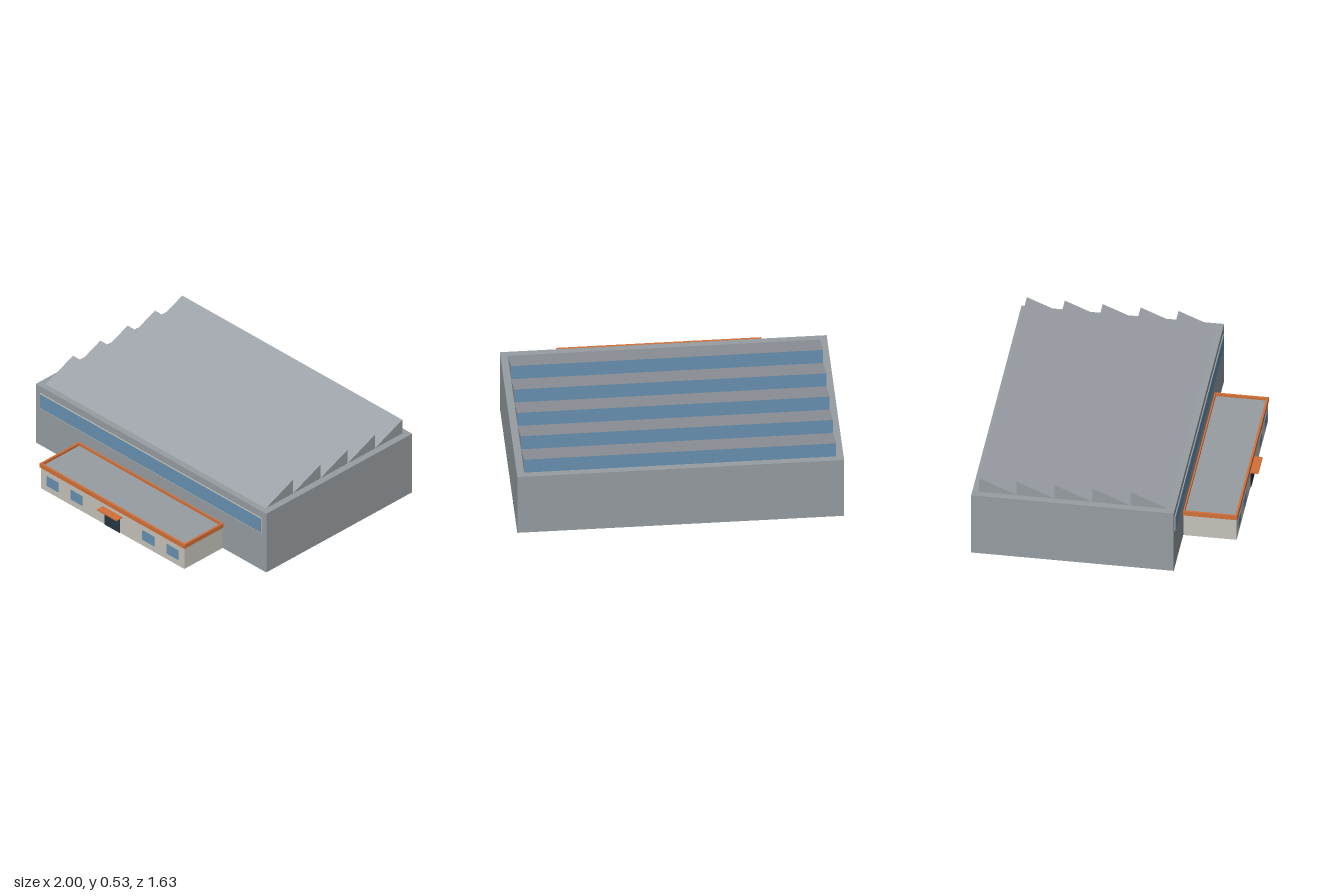
import * as THREE from 'three';

const mat = (name, color) => {
  const m = new THREE.MeshStandardMaterial({ color, side: THREE.DoubleSide });
  m.name = name;
  return m;
};

export function createModel() {
  const wall = mat('wallGrey', 0x969da1);
  const roof = mat('roofGrey', 0x9da1a8);
  const glass = mat('glassBlue', 0x6791b0);
  const plaster = mat('plasterBeige', 0xc6c3ba);
  const orange = mat('trimOrange', 0xd37038);
  const dark = mat('doorDark', 0x243642);

  const model = new THREE.Group();
  model.name = 'factory';

  const add = (name, geometry, material, parent = model) => {
    const mesh = new THREE.Mesh(geometry, material);
    mesh.name = name;
    parent.add(mesh);
    return mesh;
  };

  // Box given by its limits; an open box has no bottom face
  const box = (name, material, [x0, x1], [y0, y1], [z0, z1], parent = model, open = false) => {
    const g = new THREE.BoxGeometry(x1 - x0, y1 - y0, z1 - z0);
    g.translate((x0 + x1) / 2, (y0 + y1) / 2, (z0 + z1) / 2);
    if (open) {
      const index = Array.from(g.index.array);
      index.splice(18, 6);
      g.setIndex(index);
      g.clearGroups();
    }
    return add(name, g, material, parent);
  };

  // Main hall, open underneath
  box('hall', wall, [-1, 1], [0, 0.43], [-0.815, 0.435], model, true);

  // Sawtooth roof: slope to the front, glazing to the back, triangular ends
  const saws = new THREE.Group();
  saws.name = 'sawtoothRoof';
  model.add(saws);
  const pitch = 0.234, rise = 0.1, half = 0.955;
  const slopeLength = Math.hypot(pitch, rise);
  for (let i = 0; i < 5; i++) {
    const saw = new THREE.Group();
    saw.name = 'sawtooth' + (i + 1);
    saw.position.set(0, 0.43, 0.395 - i * pitch);
    saws.add(saw);

    const slope = new THREE.PlaneGeometry(half * 2, slopeLength);
    slope.rotateX(-Math.PI / 2 + Math.atan2(rise, pitch));
    slope.translate(0, rise / 2, -pitch / 2);
    add('roofSlope', slope, roof, saw);

    const light = new THREE.PlaneGeometry(half * 2, rise);
    light.rotateY(Math.PI);
    light.translate(0, rise / 2, -pitch);
    add('skylight', light, glass, saw);

    const triangle = new THREE.Shape([
      new THREE.Vector2(0, 0), new THREE.Vector2(pitch, 0), new THREE.Vector2(pitch, rise),
    ]);
    for (const s of [-1, 1]) {
      // Mirror the outline so that each end faces outwards
      const end = new THREE.ShapeGeometry(triangle);
      end.rotateY(Math.PI / 2);
      if (s < 0) {
        const index = Array.from(end.index.array).reverse();
        end.setIndex(index);
        end.getAttribute('normal').array.forEach((v, k, a) => { a[k] = -v; });
      }
      end.translate(s * half, 0, 0);
      add('sawtoothEnd', end, wall, saw);
    }
  }

  // Long window band on the hall front with a thin frame
  box('windowBandFrame', plaster, [-0.963, 0.963], [0.27, 0.382], [0.434, 0.438]);
  box('windowBand', glass, [-0.957, 0.957], [0.276, 0.376], [0.434, 0.441]);

  // Office block
  const office = new THREE.Group();
  office.name = 'office';
  model.add(office);
  box('officeWalls', plaster, [-0.622, 0.622], [0, 0.158], [0.437, 0.764], office, true);
  box('officeRoof', wall, [-0.62, 0.62], [0.159, 0.164], [0.437, 0.762], office);

  // Orange parapet around the office roof
  const y = [0.152, 0.182];
  box('parapetFront', orange, [-0.628, 0.628], y, [0.756, 0.769], office);
  box('parapetBack', orange, [-0.628, 0.628], y, [0.431, 0.444], office);
  for (const s of [-1, 1]) {
    const x = s > 0 ? [0.615, 0.628] : [-0.628, -0.615];
    box('parapetSide', orange, x, y, [0.444, 0.756], office);
  }

  // Office windows, door and canopy
  for (const x of [-0.521, -0.312, 0.312, 0.521]) {
    box('officeWindow', glass, [x - 0.051, x + 0.051], [0.044, 0.114], [0.762, 0.768], office);
  }
  box('door', dark, [-0.065, 0.065], [0, 0.11], [0.762, 0.768], office);
  box('canopy', orange, [-0.084, 0.084], [0.117, 0.125], [0.764, 0.815], office);

  return model;
}
